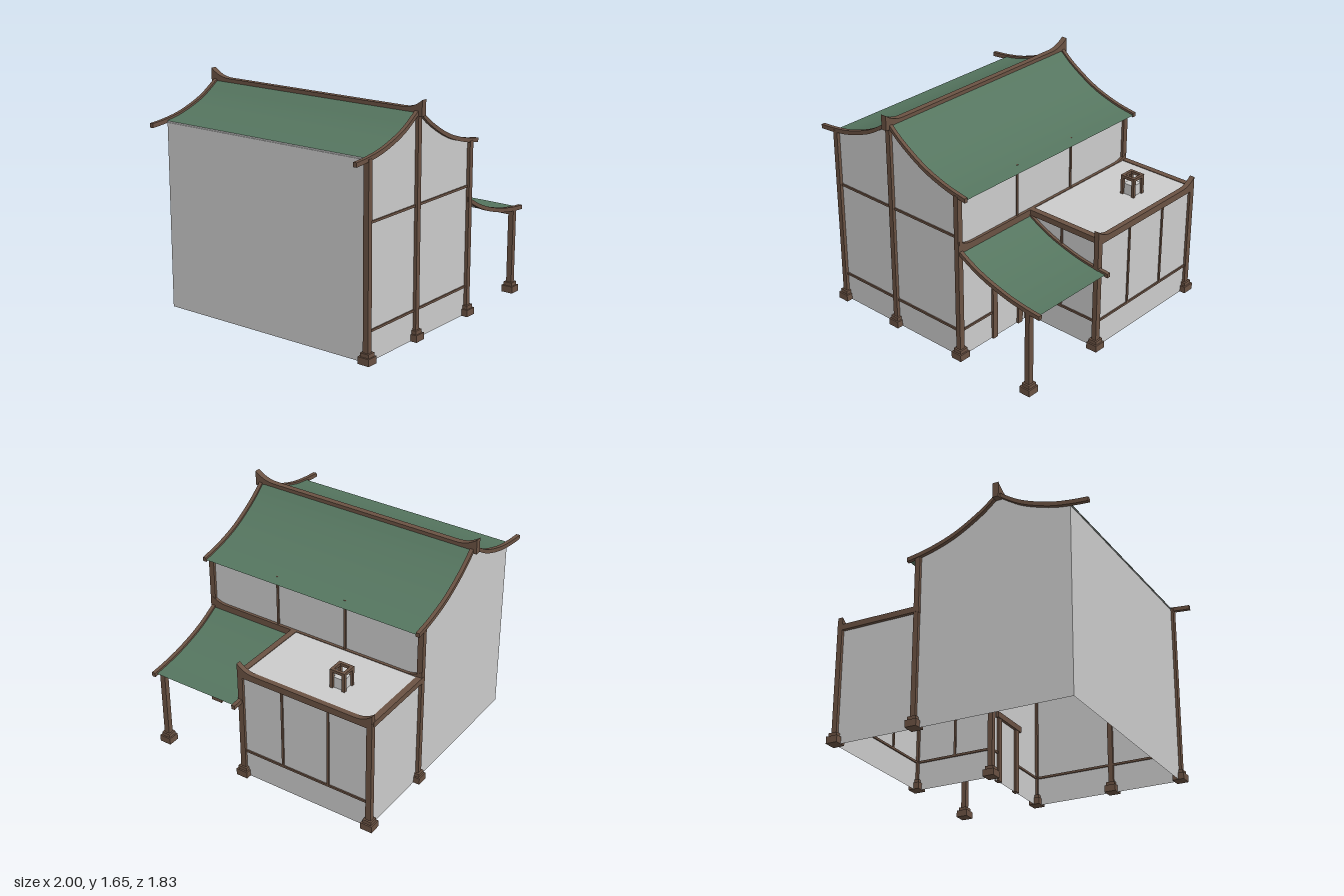
import * as THREE from 'three';

const wallMat = new THREE.MeshStandardMaterial({ color: 0xcccccc, side: THREE.DoubleSide });
const woodMat = new THREE.MeshStandardMaterial({ color: 0x6a5243 });
const roofMat = new THREE.MeshStandardMaterial({ color: 0x55755f, side: THREE.DoubleSide });

const curve = (pts, n = 20) =>
  new THREE.SplineCurve(pts.map(p => new THREE.Vector2(...p))).getPoints(n);

export function createModel() {
  const model = new THREE.Group();
  const add = (name, geo, mat) => {
    const m = new THREE.Mesh(geo, mat);
    m.name = name;
    model.add(m);
    return m;
  };
  // box given by its limits on each axis
  const box = (name, [x0, x1], [y0, y1], [z0, z1], mat = woodMat) =>
    add(name, new THREE.BoxGeometry(x1 - x0, y1 - y0, z1 - z0), mat)
      .position.set((x0 + x1) / 2, (y0 + y1) / 2, (z0 + z1) / 2);
  const around = (c, w) => [c - w / 2, c + w / 2];

  // wall panels: one facing z with any outline, one facing x
  const wallZ = (name, pts, z) => {
    const shape = new THREE.Shape(pts.map(p => new THREE.Vector2(p.x, p.y)));
    add(name, new THREE.ShapeGeometry(shape), wallMat).position.z = z;
  };
  const wallX = (name, x, [y0, y1], [z0, z1]) => {
    const g = new THREE.PlaneGeometry(z1 - z0, y1 - y0).rotateY(Math.PI / 2);
    add(name, g, wallMat).position.set(x, (y0 + y1) / 2, (z0 + z1) / 2);
  };

  // curved sheet running along z
  const sheet = (name, pts, [z0, z1], mat, drop = 0) => {
    const g = new THREE.PlaneGeometry(1, 1, pts.length - 1, 1);
    const p = g.attributes.position;
    for (let i = 0; i < p.count; i++) {
      const c = pts[i % pts.length];
      p.setXYZ(i, c.x, c.y - drop, i < pts.length ? z0 : z1);
    }
    g.computeVertexNormals();
    add(name, g, mat);
  };

  // curved timber edge following a roof line
  const rim = (name, pts, z) => {
    const up = pts.map(p => new THREE.Vector2(p.x, p.y + 0.015));
    const low = pts.map(p => new THREE.Vector2(p.x, p.y - 0.016)).reverse();
    const g = new THREE.ExtrudeGeometry(new THREE.Shape([...up, ...low]), { depth: 0.028, bevelEnabled: false });
    add(name, g, woodMat).position.z = z - 0.014;
  };

  // beam along z whose ends sweep upward
  const sweptBeam = (name, x, [z0, z1], [y0, y1], rise, run, width) => {
    const s = new THREE.Shape();
    s.moveTo(z0, y0);
    s.lineTo(z1, y0);
    s.lineTo(z1, y1 + rise);
    s.quadraticCurveTo(z1 - run * 0.45, y1, z1 - run, y1);
    s.lineTo(z0 + run, y1);
    s.quadraticCurveTo(z0 + run * 0.45, y1, z0, y1 + rise);
    const g = new THREE.ExtrudeGeometry(s, { depth: width, bevelEnabled: false, curveSegments: 8 });
    add(name, g.translate(0, 0, -width / 2).rotateY(-Math.PI / 2), woodMat).position.x = x;
  };

  // post on a two-step foot
  const post = (name, x, z, top) => {
    box(name, around(x, 0.038), [0, top], around(z, 0.042));
    box(name + 'Foot', around(x, 0.086), [0, 0.05], around(z, 0.09));
    box(name + 'FootStep', around(x, 0.064), [0.05, 0.076], around(z, 0.068));
  };

  // roof lines
  const leftLine = curve([[-1, 1.348], [-0.86, 1.361], [-0.7, 1.392], [-0.5, 1.466], [-0.33, 1.575]]);
  const rightLine = curve([[-0.33, 1.575], [-0.2, 1.468], [0, 1.352], [0.2, 1.283], [0.37, 1.25]]);
  const porchLine = curve([[0.285, 0.842], [0.4, 0.777], [0.5, 0.732], [0.6, 0.698], [0.75, 0.659], [0.9, 0.636], [1, 0.627]]);
  const clip = (pts, a, b) => pts.filter(p => p.x > a && p.x < b);
  const at = (x, y) => new THREE.Vector2(x, y);
  const leftSheet = [at(-0.865, 1.361), ...clip(leftLine, -0.855, 1)];
  const porchSheet = [...clip(porchLine, 0, 0.97), at(0.98, 0.629)];

  sheet('mainRoofLeft', leftSheet, [-0.87, 0.87], roofMat);
  sheet('mainRoofRight', rightLine, [-0.87, 0.87], roofMat);
  sheet('mainCeilingLeft', leftSheet, [-0.865, 0.865], wallMat, 0.012);
  sheet('mainCeilingRight', [...clip(rightLine, -1, 0.28), at(0.29, 1.264)], [-0.865, 0.865], wallMat, 0.012);
  sheet('porchRoof', porchSheet, [0.165, 0.865], roofMat);
  sheet('porchCeiling', [...clip(porchLine, 0, 0.89), at(0.9, 0.636)], [0.165, 0.865], wallMat, 0.012);
  for (const z of [-0.88, 0.873]) {
    rim('mainRimLeft', leftLine, z);
    rim('mainRimRight', rightLine, z);
  }
  for (const z of [0.17, 0.865]) rim('porchRim', porchLine, z);

  // ridge with raised ends
  sweptBeam('ridge', -0.33, [-0.917, 0.917], [1.563, 1.59], 0.06, 0.16, 0.044);
  for (const z of [-0.89, 0.89]) box('ridgeEnd', around(-0.33, 0.043), [1.54, 1.59], around(z, 0.054));

  // main hall walls
  const gable = [at(-0.86, 0), at(0.29, 0), at(0.29, 1.264),
    ...clip(rightLine, -0.32, 0.28).reverse(), at(-0.33, 1.575),
    ...clip(leftLine, -0.85, -0.34).reverse(), at(-0.86, 1.361)];
  wallZ('mainFrontWall', gable, 0.865);
  wallZ('mainBackWall', gable, -0.865);
  wallX('mainLeftWall', -0.86, [0, 1.361], [-0.865, 0.865]);
  wallX('porchSideWall', 0.287, [0, 0.86], [0.165, 0.865]);
  wallX('upperRightWall', 0.287, [0.85, 1.264], [-0.865, 0.865]);

  // side annex walls and flat roof
  const annex = [at(0.287, 0), at(0.9, 0), at(0.9, 0.86), at(0.287, 0.86)];
  wallZ('annexFrontWall', annex, 0.162);
  wallZ('annexBackWall', annex, -0.865);
  wallX('annexRightWall', 0.9, [0, 0.86], [-0.865, 0.162]);
  box('annexRoof', [0.287, 0.9], [0.845, 0.872], [-0.865, 0.162], wallMat);

  // posts
  post('frontLeftPost', -0.86, 0.868, 1.36);
  post('frontRidgePost', -0.33, 0.868, 1.6);
  post('frontRightPost', 0.287, 0.868, 1.26);
  post('backRightPost', 0.287, -0.868, 1.26);
  post('innerCornerPost', 0.287, 0.165, 0.86);
  post('annexFrontPost', 0.9, 0.165, 0.87);
  post('annexBackPost', 0.9, -0.868, 0.87);
  post('porchPost', 0.9, 0.858, 0.63);

  // large beams
  sweptBeam('mainSideBeam', 0.287, [-0.885, 0.88], [0.828, 0.877], 0.045, 0.13, 0.042);
  sweptBeam('annexSideBeam', 0.9, [-0.887, 0.187], [0.828, 0.877], 0.055, 0.13, 0.038);
  for (const z of [0.157, -0.868]) box('annexCrossBeam', [0.287, 0.9], [0.835, 0.877], around(z, 0.045));
  box('porchBeam', around(0.9, 0.034), [0.59, 0.624], [0.165, 0.86]);

  // thin wall rails and studs
  for (const y of [0.213, 0.94]) box('frontRail', [-0.86, 0.287], around(y, 0.016), around(0.865, 0.02));
  box('annexFrontRail', [0.287, 0.9], around(0.213, 0.016), around(0.162, 0.02));
  box('annexFrontStud', around(0.582, 0.016), [0.213, 0.84], around(0.162, 0.02));
  box('annexSideRail', around(0.9, 0.02), around(0.213, 0.016), [-0.865, 0.165]);
  for (const z of [-0.17, -0.54]) box('annexSideStud', around(0.9, 0.02), [0.213, 0.84], around(z, 0.016));
  for (const z of [0.297, -0.265]) box('upperStud', around(0.287, 0.02), [0.87, 1.264], around(z, 0.016));
  for (const span of [[0.53, 0.865], [0.165, 0.272]]) box('porchRail', around(0.287, 0.02), around(0.213, 0.016), span);

  // door frame
  for (const z of [0.533, 0.272]) box('doorJamb', around(0.287, 0.034), [0, 0.48], around(z, 0.045));
  box('doorLintel', around(0.287, 0.045), [0.48, 0.524], [0.23, 0.58]);

  // roof vent: open lantern frame over a low box
  const cx = 0.668, cz = -0.492;
  box('ventBox', around(cx, 0.085), [0.865, 0.953], around(cz, 0.085), wallMat);
  for (const s of [-1, 1]) {
    for (const t of [-1, 1]) box('ventPost', around(cx + s * 0.047, 0.022), [0.865, 1], around(cz + t * 0.047, 0.022));
    box('ventTopSide', around(cx + s * 0.047, 0.022), [0.997, 1.018], around(cz, 0.116));
    box('ventTopCross', around(cx, 0.072), [0.997, 1.018], around(cz + s * 0.047, 0.022));
  }

  return model;
}
